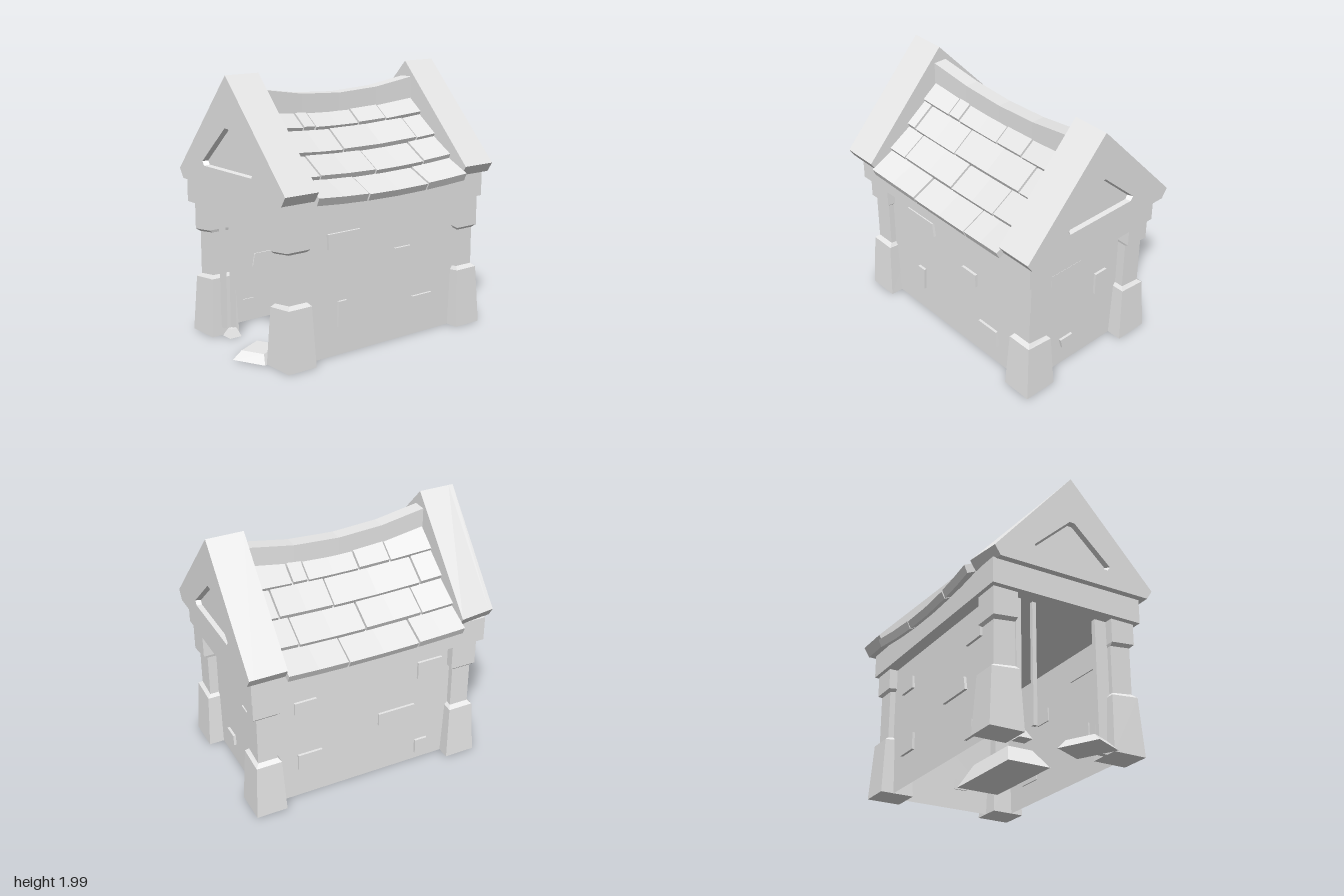
import * as THREE from 'three';

const stone = new THREE.MeshStandardMaterial({ color: 0xe7e7e7, flatShading: true, side: THREE.DoubleSide });
stone.name = 'paleStone';

function add(parent, name, geometry) {
  const mesh = new THREE.Mesh(geometry, stone);
  mesh.name = name;
  parent.add(mesh);
  return mesh;
}

// box given by its limits
function block(parent, name, x0, x1, y0, y1, z0, z1) {
  const g = new THREE.BoxGeometry(x1 - x0, y1 - y0, z1 - z0);
  g.translate((x0 + x1) / 2, (y0 + y1) / 2, (z0 + z1) / 2);
  return add(parent, name, g);
}

// box whose lower and upper rectangles differ: [x0, x1, z0, z1]; skews tilt its ends along z
function taper(parent, name, y0, y1, low, high, skewLow = 0, skewHigh = 0) {
  const g = new THREE.BoxGeometry(1, 1, 1);
  const p = g.attributes.position;
  for (let i = 0; i < p.count; i++) {
    const up = p.getY(i) > 0, r = up ? high : low, s = Math.sign(p.getZ(i));
    const y = up ? y1 + s * skewHigh : y0 + s * skewLow;
    p.setXYZ(i, p.getX(i) < 0 ? r[0] : r[1], y, s < 0 ? r[2] : r[3]);
  }
  g.computeVertexNormals();
  return add(parent, name, g);
}

const vectors = (points) => points.map(([x, y]) => new THREE.Vector2(x, y));

// how far the roof has sunk at x (0 at the gables, 1 in the middle)
const sag = (x) => Math.max(0, 1 - ((x - 0.03) / 0.69) ** 2);

// sagging slab spanning x0..x1; corners are [z, y] outer top, outer bottom, inner bottom, inner top
function saggingSlab(parent, name, x0, x1, corners, drop, pull, side = 1) {
  const g = new THREE.BoxGeometry(x1 - x0, 1, 1, Math.ceil((x1 - x0) / 0.35), 1, 1);
  const p = g.attributes.position;
  for (let i = 0; i < p.count; i++) {
    const x = p.getX(i) + (x0 + x1) / 2, up = p.getY(i) > 0, outer = p.getZ(i) * side > 0;
    const [z, y] = corners[outer ? (up ? 0 : 1) : (up ? 3 : 2)];
    p.setXYZ(i, x, y - drop * sag(x), side * (z - pull * sag(x)));
  }
  g.computeVertexNormals();
  return add(parent, name, g);
}

// corner column: sx, sz choose the corner, capY is the underside of the cap, skew its tilt
function column(parent, name, sx, sz, capY, skew) {
  const c = new THREE.Group();
  c.name = name;
  parent.add(c);
  const off = sx > 0 ? 0 : -0.093;
  const r = (xi, xo, zi, zo) => {
    const a = sx * (xi + off), b = sx * (xo + off);
    return [Math.min(a, b), Math.max(a, b), Math.min(sz * zi, sz * zo), Math.max(sz * zi, sz * zo)];
  };
  const shaft = r(0.76, 0.91, 0.39, 0.555), cap = r(0.74, 0.94, 0.385, 0.575);
  taper(c, 'columnBase', 0, 0.43, r(0.72, 0.957, 0.35, 0.61), r(0.74, 0.935, 0.37, 0.585), 0, 0.01);
  taper(c, 'columnBaseBevel', 0.43, 0.455, r(0.74, 0.935, 0.37, 0.585), shaft, 0.01, 0.01);
  taper(c, 'columnShaft', 0.455, capY, shaft, shaft, 0.01, skew);
  taper(c, 'columnCapBevel', capY - 0.02, capY, shaft, cap, skew, skew);
  taper(c, 'columnCap', capY, 1, cap, cap, skew, 0);
}

// raised brick on a wall, drawn in the wall's own plane
function brick(parent, points, x, z, turn) {
  const g = new THREE.ExtrudeGeometry(new THREE.Shape(vectors(points)), { depth: 0.03, bevelEnabled: false });
  g.translate(0, 0, -0.01);
  const m = add(parent, 'raisedBrick', g);
  m.position.set(x, 0, z);
  m.rotation.y = turn;
}

const rect = (x, y, w, h, skew = 0) => [
  [x - w / 2, y - h / 2], [x + w / 2 + skew, y - h / 2], [x + w / 2, y + h / 2], [x - w / 2, y + h / 2]];

// gable block with a sunken triangle on its outer face; pinch narrows its back towards that face
function gable(parent, name, x0, x1, side, shiftZ, pinch) {
  const g = new THREE.Group();
  g.name = name;
  parent.add(g);
  const outline = [[-0.635, 1.185], [0.635, 1.185], [0.68, 1.255], [0, 1.985], [-0.68, 1.255]];
  const hole = [[-0.295, 1.32], [-0.315, 1.35], [-0.02, 1.62], [0.02, 1.62], [0.315, 1.35], [0.295, 1.32]];
  const depth = 0.035, width = x1 - x0;
  const core = new THREE.ExtrudeGeometry(new THREE.Shape(vectors(outline)),
    { depth: width - depth, bevelEnabled: false });
  const face = new THREE.Shape(vectors(outline));
  face.holes.push(new THREE.Path(vectors(hole)));
  const front = new THREE.ExtrudeGeometry(face, { depth, bevelEnabled: false });
  // narrow the inner end of the recess so its sides slope
  const p = front.attributes.position;
  for (let i = 0; i < p.count; i++) {
    const x = p.getX(i), y = p.getY(i);
    if (p.getZ(i) < 0.01 && Math.abs(x) < 0.4 && y > 1.3 && y < 1.7) p.setXY(i, x * 0.93, 1.42 + (y - 1.42) * 0.93);
  }
  front.translate(0, 0, width - depth);
  for (const geometry of [core, front]) {
    const q = geometry.attributes.position;
    for (let i = 0; i < q.count; i++) {
      if (q.getX(i) < -0.4) q.setX(i, q.getX(i) + pinch * (0.3 + 0.7 * q.getZ(i) / width));
    }
    geometry.computeVertexNormals();
  }
  add(g, 'gableBlock', core);
  add(g, 'gableRecessFrame', front);
  g.rotation.y = side * Math.PI / 2;
  g.position.set(side > 0 ? x0 : x1, 0, shiftZ);
}

export function createModel() {
  const model = new THREE.Group();
  model.name = 'crypt';

  // walls on three sides, open floor
  const wallZ = 0.51, wallX = 0.84;
  for (const s of [1, -1]) {
    const wall = add(model, s > 0 ? 'frontWall' : 'backWall', new THREE.PlaneGeometry(1.6, 1));
    wall.position.set(0.04, 0.5, s * wallZ);
    if (s < 0) wall.rotation.y = Math.PI;
  }
  const endWall = add(model, 'endWall', new THREE.PlaneGeometry(2 * wallZ, 1));
  endWall.rotation.y = Math.PI / 2;
  endWall.position.set(wallX, 0.5, 0);

  // raised bricks
  const front = [
    [[-0.455, 0.79], [-0.155, 0.79], [-0.17, 0.9], [-0.46, 0.9]],
    rect(0.235, 0.645, 0.15, 0.11),
    [[-0.37, 0.21], [-0.3, 0.21], [-0.29, 0.4], [-0.365, 0.4]],
    rect(0.435, 0.235, 0.19, 0.13, 0.01)];
  const end = [
    [[-0.3, 0.8], [0, 0.8], [-0.01, 0.89], [-0.3, 0.89]],
    rect(0.205, 0.58, 0.11, 0.18),
    [[-0.17, 0.16], [-0.06, 0.16], [-0.07, 0.24], [-0.19, 0.24]]];
  const rear = [
    rect(-0.52, 0.79, 0.17, 0.1, 0.01), rect(0.49, 0.82, 0.2, 0.14), rect(-0.49, 0.31, 0.19, 0.13),
    rect(0.22, 0.48, 0.3, 0.1, 0.02), rect(0.44, 0.12, 0.1, 0.12)];
  front.forEach((b) => brick(model, b, 0, wallZ, 0));
  end.forEach((b) => brick(model, b, wallX, 0, Math.PI / 2));
  rear.forEach((b) => brick(model, b, 0, -wallZ, Math.PI));

  // corner columns and the eave band
  column(model, 'frontLeftColumn', 1, 1, 0.785, -0.015);
  column(model, 'backLeftColumn', 1, -1, 0.85, 0.012);
  column(model, 'frontRightColumn', -1, 1, 0.83, 0.01);
  column(model, 'backRightColumn', -1, -1, 0.8, 0.01);
  block(model, 'eaveBand', -0.89, 0.955, 1, 1.19, -0.605, 0.605);

  // gables, a little out of line with each other
  gable(model, 'leftGable', 0.72, 0.998, 1, -0.012, 0);
  gable(model, 'rightGable', -0.94, -0.665, -1, 0.01, 0.05);

  // sagging ridge
  saggingSlab(model, 'ridge', -0.665, 0.72, [[0.06, 1.87], [0.06, 1.6], [-0.045, 1.6], [-0.045, 1.87]], 0.072, 0.015);

  // roof: four courses of tiles per slope over a plain deck
  const courses = [
    { z0: 0.03, y0: 1.73, z1: 0.18, y1: 1.615 },
    { z0: 0.15, y0: 1.605, z1: 0.34, y1: 1.465 },
    { z0: 0.3, y0: 1.455, z1: 0.51, y1: 1.325 },
    { z0: 0.46, y0: 1.31, z1: 0.685, y1: 1.205 }];
  const slopes = [
    { name: 'frontRoof', side: 1, out: 0, joints: [[-0.39, -0.28, 0.12, 0.38], [-0.58, -0.15, 0.54], [-0.5, 0.01, 0.46], [-0.2, 0.35]] },
    { name: 'backRoof', side: -1, out: 0.012, joints: [[-0.33, -0.08, 0.32, 0.44], [-0.49, 0.2, 0.62], [-0.41, 0.03, 0.55], [-0.3, 0.25]] }];
  for (const { name, side, out, joints } of slopes) {
    const slope = new THREE.Group();
    slope.name = name;
    model.add(slope);
    saggingSlab(slope, 'roofDeck', -0.665, 0.72, [[0.55, 1.19], [0.55, 1.14], [0, 1.14], [0, 1.65]], 0.05, 0.02, side);
    joints.forEach((splits, i) => {
      const { z0, y0, z1, y1 } = courses[i];
      const edges = [-0.665, ...splits, 0.72];
      for (let k = 0; k + 1 < edges.length; k++) {
        const lift = ((k + i) % 2) * 0.006;
        saggingSlab(slope, 'roofTile', edges[k] + 0.006, edges[k + 1] - 0.006,
          [[z1 + out, y1 + lift], [z1 + out - 0.025, y1 - 0.05], [z0 + out, y0 - 0.06], [z0 + out, y0 + lift]],
          0.035, 0.025, side);
      }
    });
  }

  // broken entrance: jamb, leftover bars and a fallen slab
  block(model, 'doorJamb', -0.78, -0.74, 0, 1, 0.29, 0.42);
  block(model, 'brokenBar', -0.78, -0.75, 0.06, 1, -0.36, -0.32);
  block(model, 'brokenBar', -0.78, -0.75, 0.1, 1, -0.23, -0.2);
  const slab = taper(model, 'fallenSlab', 0, 0.06, [-0.155, 0.16, -0.13, 0.13], [-0.1, 0.12, -0.09, 0.09]);
  slab.position.set(-0.805, 0, 0.18);
  slab.rotation.y = 0.45;
  taper(model, 'rubble', 0, 0.06, [-0.78, -0.68, -0.34, -0.24], [-0.75, -0.7, -0.31, -0.27]);

  // low tomb inside
  taper(model, 'tomb', 0, 0.15, [-0.36, 0.36, -0.17, 0.17], [-0.24, 0.24, -0.1, 0.1]);
  return model;
}
